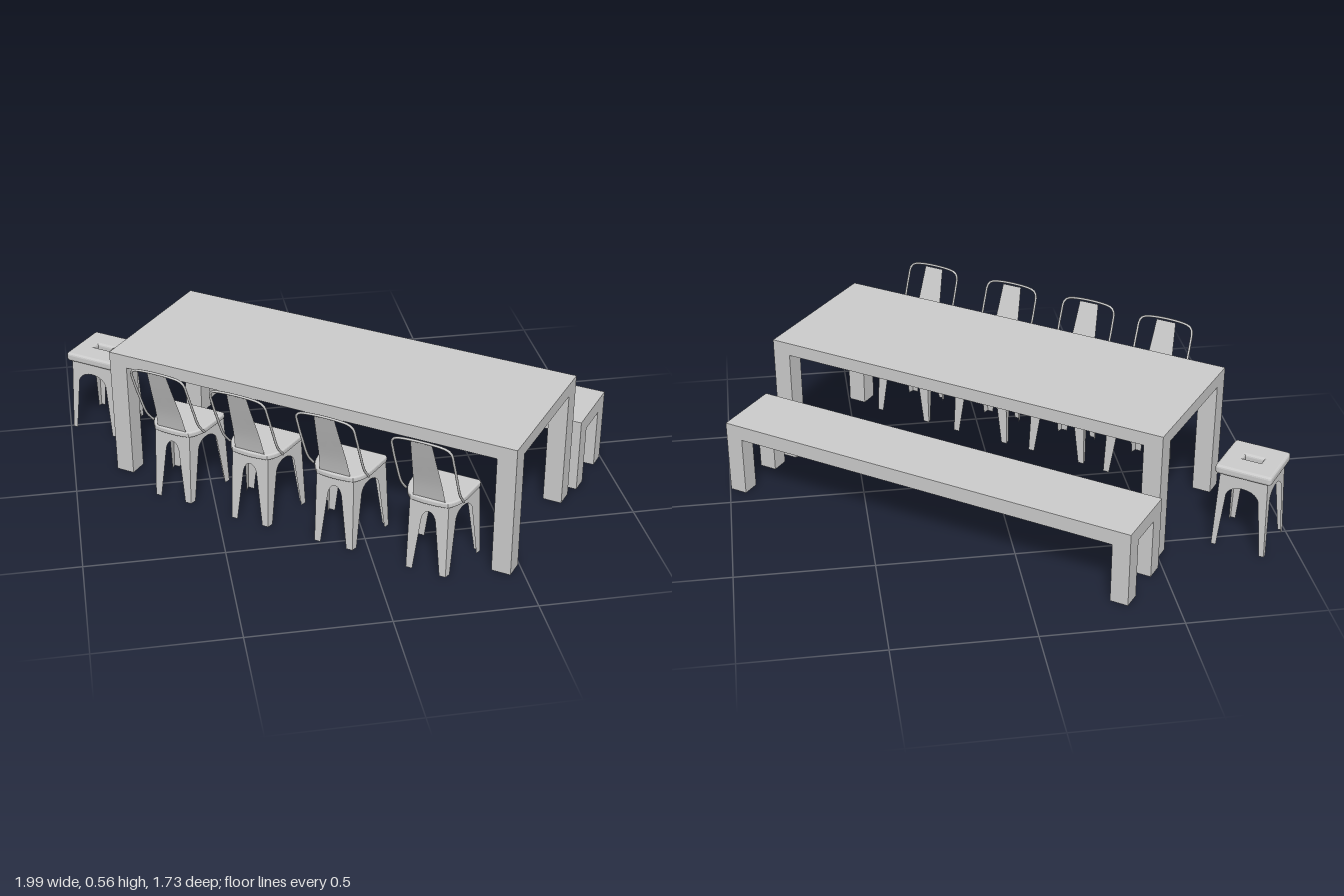
import * as THREE from 'three';

const mat = new THREE.MeshStandardMaterial({ color: 0xcccccc });
const sheet = new THREE.MeshStandardMaterial({ color: 0xcccccc, side: THREE.DoubleSide });
const ANGLE = -THREE.MathUtils.degToRad(36.3);

function add(parent, name, geometry, material = mat) {
  const mesh = new THREE.Mesh(geometry, material);
  mesh.name = name;
  parent.add(mesh);
  return mesh;
}

function place(group, name, x, z) {
  group.name = name;
  group.position.set(x, 0, z);
  group.rotation.y = ANGLE;
  return group;
}

// Slab top on four square corner legs, used for table and bench
function slabTable(length, width, height, thick, leg) {
  const g = new THREE.Group();
  add(g, 'top', new THREE.BoxGeometry(length, thick, width)).position.y = height - thick / 2;
  for (const sx of [-1, 1]) for (const sz of [-1, 1]) {
    const h = height - thick;
    add(g, 'leg', new THREE.BoxGeometry(leg, h, leg))
      .position.set(sx * (length - leg) / 2, h / 2, sz * (width - leg) / 2);
  }
  return g;
}

// Sheet-metal side: arched apron with two tapered legs, stretched between top and foot corners
function archedSide(topA, topB, footA, footB, legTop, legFoot, archTop) {
  const wt = legTop / topA.distanceTo(topB), wf = legFoot / footA.distanceTo(footB);
  const s = new THREE.Shape();
  s.moveTo(0, 0);
  s.lineTo(wf, 0);
  s.lineTo(wt, archTop - 0.16);
  s.bezierCurveTo(wt + 0.06, archTop, 0.94 - wt, archTop, 1 - wt, archTop - 0.16);
  s.lineTo(1 - wf, 0);
  s.lineTo(1, 0);
  s.lineTo(1, 1);
  s.lineTo(0, 1);
  s.closePath();
  const geo = new THREE.ShapeGeometry(s, 10), p = geo.attributes.position;
  for (let i = 0; i < p.count; i++) {
    const u = p.getX(i), t = p.getY(i);
    const low = footA.clone().lerp(footB, u), high = topA.clone().lerp(topB, u);
    low.lerp(high, t);
    p.setXYZ(i, low.x, low.y, low.z);
  }
  geo.computeVertexNormals();
  return geo;
}

// Four arched sides around a loop of [x, z] corners
function legFrame(g, tops, feet, y, legTop, legFoot, archTop) {
  const v = ([x, z], h) => new THREE.Vector3(x, h, z);
  tops.forEach((_, i) => {
    const j = (i + 1) % 4;
    add(g, 'legPanel', archedSide(v(tops[i], y), v(tops[j], y), v(feet[i], 0), v(feet[j], 0),
      legTop, legFoot, archTop), sheet);
  });
}

// Horizontal seat plate with softened edges, top face at height y
function seatPlate(shape, thick, bevel, y) {
  const geo = new THREE.ExtrudeGeometry(shape, {
    depth: thick - 2 * bevel, bevelThickness: bevel, bevelSize: bevel,
    bevelOffset: -bevel, bevelSegments: 3, curveSegments: 6,
  });
  return geo.rotateX(Math.PI / 2).translate(0, y - bevel, 0);
}

const square = (h) => [[-h, -h], [h, -h], [h, h], [-h, h]];

function stool() {
  const g = new THREE.Group(), h = 0.105, r = 0.015;
  const s = new THREE.Shape();
  s.moveTo(-h + r, -h);
  s.lineTo(h - r, -h);
  s.quadraticCurveTo(h, -h, h, -h + r);
  s.lineTo(h, h - r);
  s.quadraticCurveTo(h, h, h - r, h);
  s.lineTo(-h + r, h);
  s.quadraticCurveTo(-h, h, -h, h - r);
  s.lineTo(-h, -h + r);
  s.quadraticCurveTo(-h, -h, -h + r, -h);
  // Hand slot in the middle
  s.holes.push(new THREE.Path([[-0.034, -0.014], [-0.034, 0.014], [0.034, 0.014], [0.034, -0.014]]
    .map(([x, y]) => new THREE.Vector2(x, y))));
  add(g, 'seat', seatPlate(s, 0.034, 0.01, 0.33));
  legFrame(g, square(0.088), square(0.1), 0.305, 0.03, 0.018, 0.86);
  return g;
}

function chair() {
  const g = new THREE.Group();
  // Seat: square front, tapered rear
  const s = new THREE.Shape();
  s.moveTo(-0.1, -0.122);
  s.lineTo(0.1, -0.122);
  s.quadraticCurveTo(0.116, -0.122, 0.116, -0.106);
  s.lineTo(0.108, -0.01);
  s.quadraticCurveTo(0.102, 0.04, 0.07, 0.07);
  s.quadraticCurveTo(0, 0.085, -0.07, 0.07);
  s.quadraticCurveTo(-0.102, 0.04, -0.108, -0.01);
  s.lineTo(-0.116, -0.106);
  s.quadraticCurveTo(-0.116, -0.122, -0.1, -0.122);
  add(g, 'seat', seatPlate(s, 0.022, 0.006, 0.294));

  legFrame(g,
    [[-0.11, -0.116], [0.11, -0.116], [0.072, 0.066], [-0.072, 0.066]],
    [[-0.12, -0.125], [0.12, -0.125], [0.075, 0.082], [-0.075, 0.082]],
    0.28, 0.046, 0.024, 0.9);

  // Back splat, leaning and narrowing upward
  const line = new THREE.CatmullRomCurve3([[0.06, 0.285, 0.066], [0.054, 0.36, 0.084],
    [0.046, 0.46, 0.118], [0.039, 0.553, 0.149]].map((a) => new THREE.Vector3(...a)));
  const splat = new THREE.PlaneGeometry(2, 1, 2, 8), p = splat.attributes.position;
  for (let i = 0; i < p.count; i++) {
    const q = line.getPoint(p.getY(i) + 0.5);
    p.setXYZ(i, p.getX(i) * q.x, q.y, q.z);
  }
  splat.computeVertexNormals();
  add(g, 'backSplat', splat, sheet);

  // Bent tube hoop around the back
  const half = [[0.108, 0.282, 0.02], [0.109, 0.33, 0.06], [0.11, 0.41, 0.096],
    [0.11, 0.49, 0.128], [0.106, 0.538, 0.146], [0.088, 0.553, 0.151]];
  const path = [...half, ...half.map(([x, y, z]) => [-x, y, z]).reverse()];
  const hoop = new THREE.CatmullRomCurve3(path.map((a) => new THREE.Vector3(...a)), false, 'centripetal');
  add(g, 'backHoop', new THREE.TubeGeometry(hoop, 56, 0.0045, 8));
  return g;
}

export function createModel() {
  const model = new THREE.Group();
  model.name = 'diningSet';
  model.add(place(slabTable(1.602, 0.585, 0.5, 0.05, 0.071), 'table', -0.02, 0.1));
  model.add(place(slabTable(1.645, 0.264, 0.286, 0.057, 0.067), 'bench', 0.255, -0.28));
  model.add(place(stool(), 'stool', -0.85, -0.515));
  // Row of chairs along one long side
  for (const [x, z] of [[-0.6, 0.05], [-0.342, 0.255], [-0.07, 0.455], [0.216, 0.674]]) {
    model.add(place(chair(), 'chair', x, z));
  }
  return model;
}
